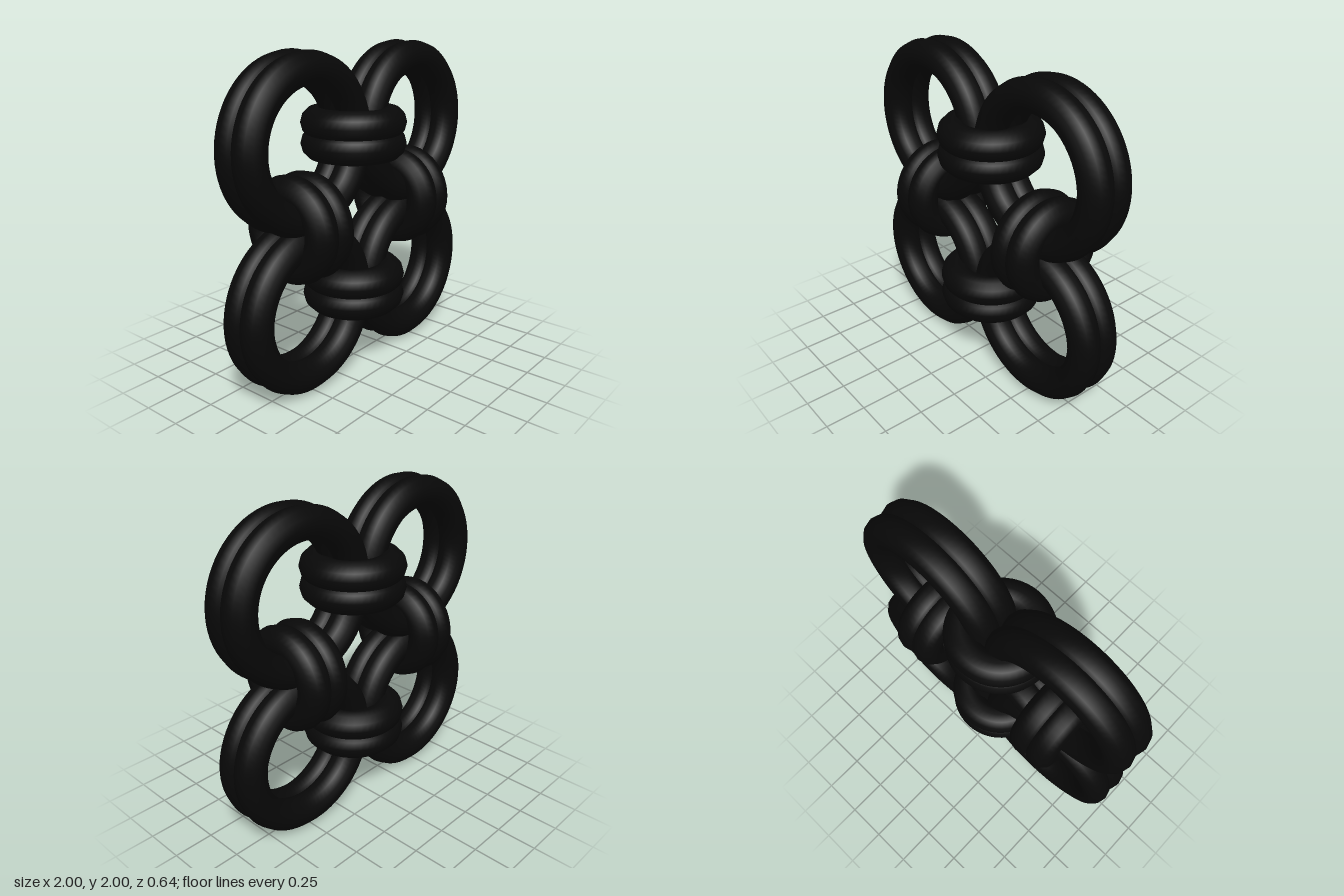
import * as THREE from 'three';

const TUBE = 0.096;    // tube radius of every hoop
const SPREAD = 0.064;  // offset of each hoop from the ring's mid plane
const C = 0.483;       // distance of the ring centres from the middle

export function createModel() {
  const model = new THREE.Group();
  model.name = 'ringWeave';
  const material = new THREE.MeshStandardMaterial({ color: 0x080808 });

  const largeHoop = new THREE.TorusGeometry(0.517 - TUBE, TUBE, 12, 72);
  const smallHoop = new THREE.TorusGeometry(0.32 - TUBE, TUBE, 12, 48);

  // A ring is two hoops pressed together side by side
  function addRing(name, geometry, x, y, rotX = 0, rotY = 0) {
    const ring = new THREE.Group();
    ring.name = name;
    for (const s of [-1, 1]) {
      const hoop = new THREE.Mesh(geometry, material);
      hoop.name = s > 0 ? 'frontHoop' : 'backHoop';
      hoop.position.z = s * SPREAD;
      ring.add(hoop);
    }
    ring.position.set(x, y, 0);
    ring.rotation.set(rotX, rotY, 0);
    model.add(ring);
  }

  // Four large rings in a square, facing the front
  for (const sx of [-1, 1]) {
    for (const sy of [-1, 1]) {
      const name = (sy > 0 ? 'upper' : 'lower') + (sx > 0 ? 'Left' : 'Right') + 'Ring';
      addRing(name, largeHoop, sx * C, 1 + sy * C);
    }
  }

  // Four small connector rings where the large ones meet
  for (const s of [-1, 1]) {
    addRing(s > 0 ? 'topConnector' : 'bottomConnector', smallHoop, 0, 1 + s * C, Math.PI / 2, 0);
    addRing(s > 0 ? 'leftConnector' : 'rightConnector', smallHoop, s * C, 1, 0, Math.PI / 2);
  }

  return model;
}
